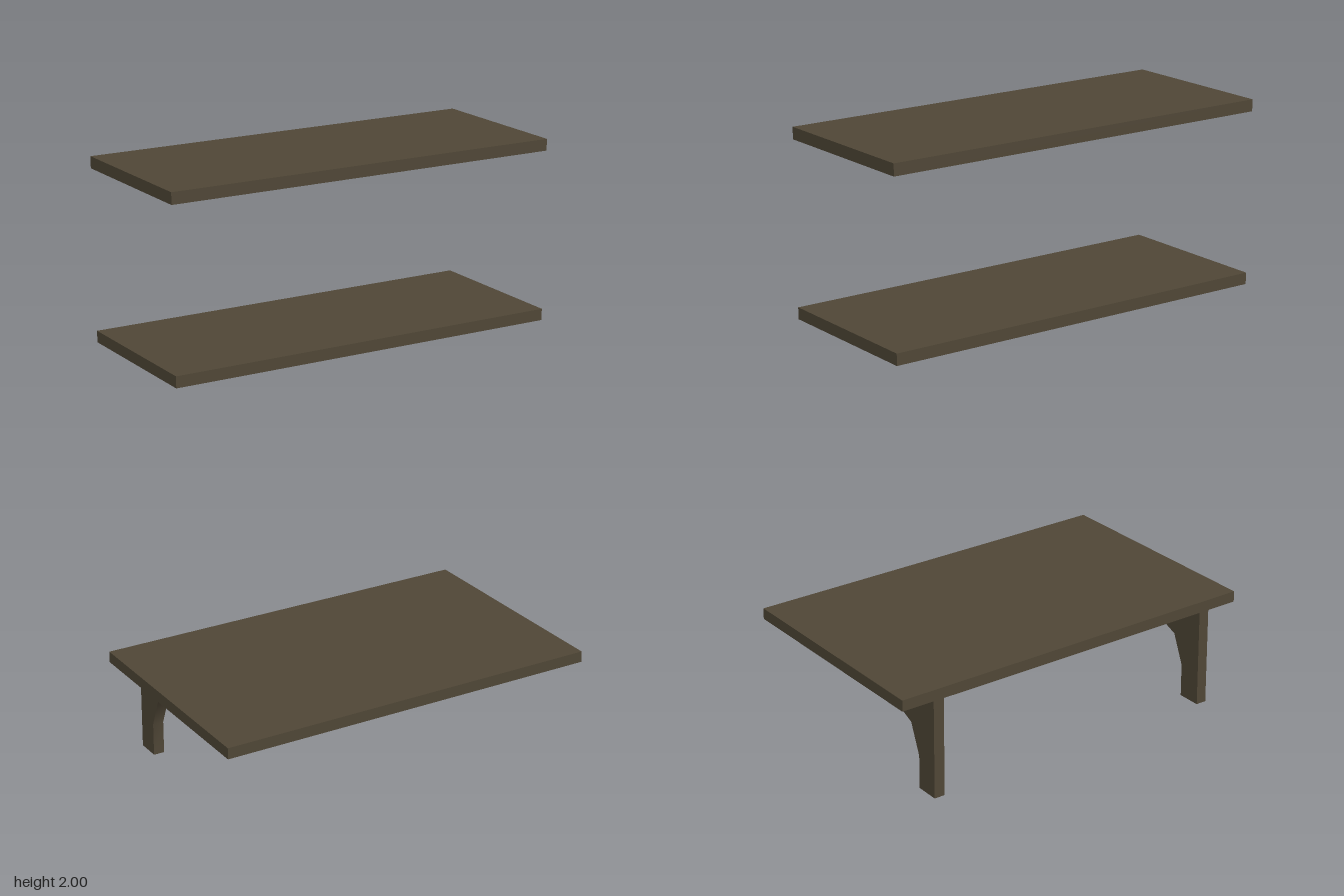
import * as THREE from 'three';
import { toCreasedNormals } from 'three/addons/utils/BufferGeometryUtils.js';

const WIDTH = 1.306, THICK = 0.037, BACK = -0.398;

export function createModel() {
  const group = new THREE.Group();
  const wood = new THREE.MeshStandardMaterial({ color: 0x4f4636 });
  wood.name = 'dark wood';

  // Boards: all share the same back edge
  const addBoard = (name, top, front) => {
    const mesh = new THREE.Mesh(new THREE.BoxGeometry(WIDTH, THICK, front - BACK), wood);
    mesh.position.set(0, top - THICK / 2, (front + BACK) / 2);
    mesh.name = name;
    group.add(mesh);
  };
  addBoard('desktop', 0.367, 0.398);
  addBoard('lowerShelf', 1.453, 0.125);
  addBoard('upperShelf', 2.0, 0.125);

  // Bracket side profile (z, y) with a quarter-round inner corner
  const profile = new THREE.Shape();
  profile.moveTo(BACK, 0);
  profile.lineTo(-0.317, 0);
  profile.lineTo(-0.317, 0.111);
  profile.lineTo(-0.276, 0.21);
  profile.lineTo(-0.177, 0.251);
  profile.lineTo(-0.069, 0.251);
  profile.lineTo(-0.069, 0.33);
  profile.lineTo(BACK, 0.33);
  profile.closePath();

  let bracket = new THREE.ExtrudeGeometry(profile, { depth: THICK, bevelEnabled: false });
  bracket.translate(0, 0, -THICK / 2);
  bracket.rotateY(-Math.PI / 2);
  bracket = toCreasedNormals(bracket, 0.9);

  for (const [name, x] of [['rightBracket', -0.525], ['leftBracket', 0.522]]) {
    const mesh = new THREE.Mesh(bracket, wood);
    mesh.position.x = x;
    mesh.name = name;
    group.add(mesh);
  }
  return group;
}
